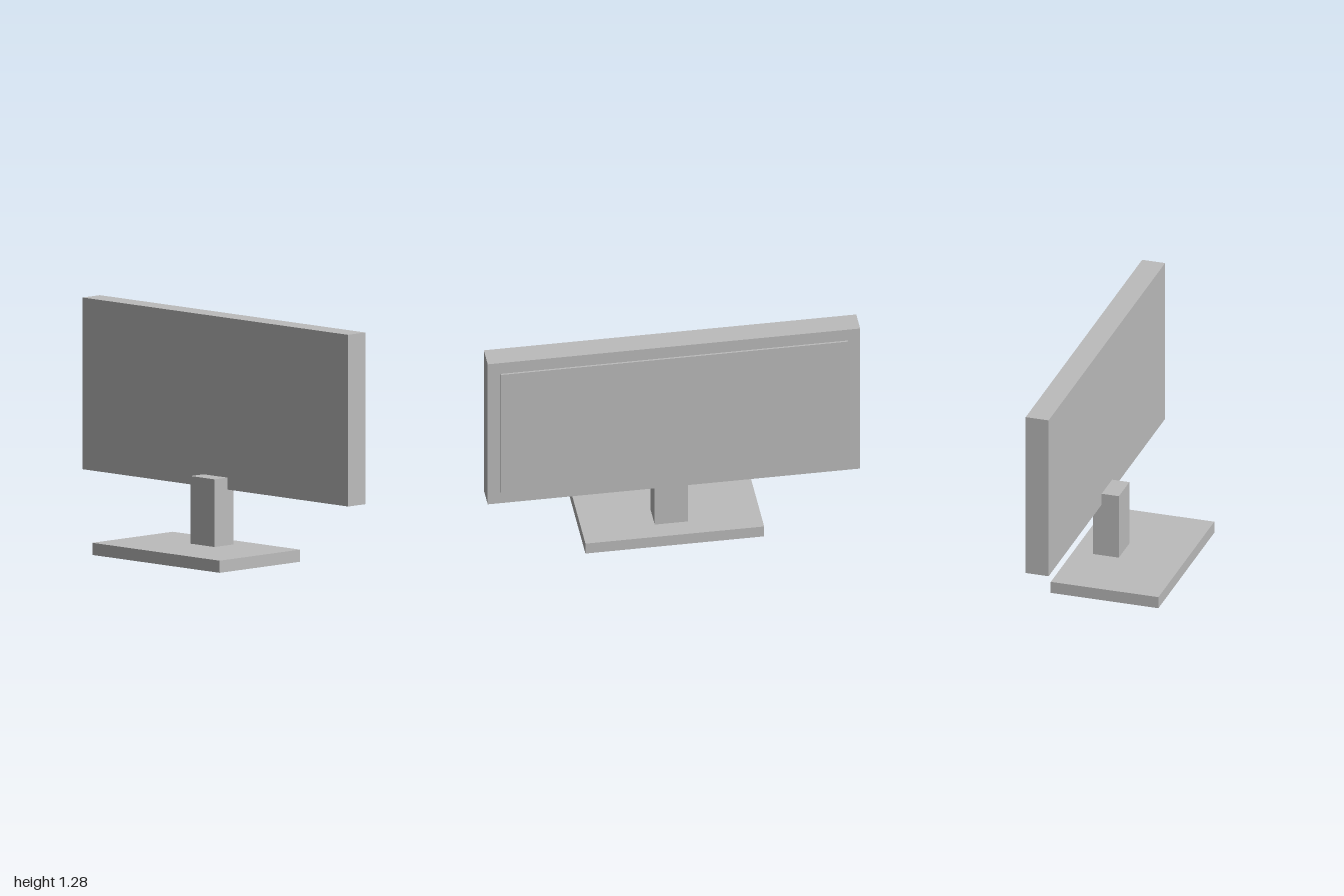
import * as THREE from 'three';

export function createModel() {
  const model = new THREE.Group();
  model.name = 'monitor';
  const grey = new THREE.MeshStandardMaterial({ color: 0xbcbcbc });
  grey.name = 'plain grey';

  // Adds a box spanning the given [min, max] ranges, symmetric in x
  function addBox(name, halfWidth, [y0, y1], [z0, z1]) {
    const geometry = new THREE.BoxGeometry(halfWidth * 2, y1 - y0, z1 - z0);
    const mesh = new THREE.Mesh(geometry, grey);
    mesh.name = name;
    mesh.position.set(0, (y0 + y1) / 2, (z0 + z1) / 2);
    model.add(mesh);
  }

  // Stand
  addBox('base', 0.48, [0, 0.065], [-0.3, 0.3]);
  addBox('neck', 0.09, [0.065, 0.427], [-0.19, -0.047]);

  // Display housing with a thin raised panel on its rear face
  addBox('housing', 1, [0.363, 1.282], [-0.271, -0.143]);
  addBox('rearPanel', 0.933, [0.434, 1.211], [-0.281, -0.271]);

  return model;
}
